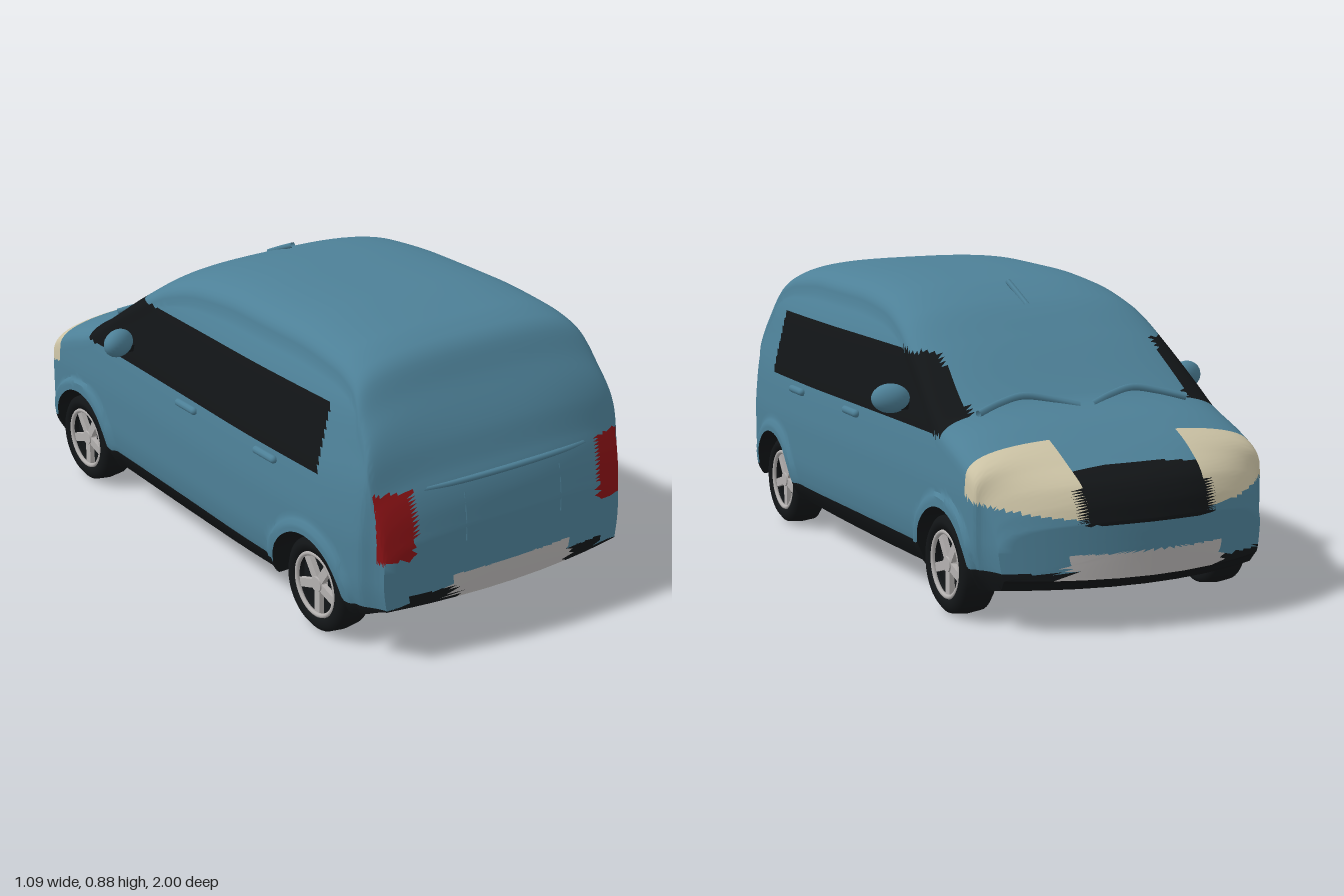
import * as THREE from 'three';
import { toCreasedNormals } from 'three/addons/utils/BufferGeometryUtils.js';

const mat = (color) => new THREE.MeshStandardMaterial({ color, side: THREE.DoubleSide });
const MATS = {
  paint: mat(0x4d8097), black: mat(0x121517), cream: mat(0xcdc4a6), red: mat(0x8a1215), silver: mat(0xb4b1b0),
};
const { abs, min, max, sqrt, sin, cos, pow, hypot, PI } = Math;
const smooth = THREE.MathUtils.smoothstep;

// Monotone smooth interpolation through [position, value] pairs
function curve(pts) {
  const s = pts.slice(1).map((p, i) => (p[1] - pts[i][1]) / (p[0] - pts[i][0]));
  const m = pts.map((_, i) => {
    if (i === 0) return s[0];
    if (i === s.length) return s[i - 1];
    return s[i - 1] * s[i] <= 0 ? 0 : (2 * s[i - 1] * s[i]) / (s[i - 1] + s[i]);
  });
  return (v) => {
    let i = 0;
    while (i < s.length - 1 && v > pts[i + 1][0]) i++;
    const h = pts[i + 1][0] - pts[i][0], t = min(1, max(0, (v - pts[i][0]) / h)), u = 1 - t;
    return (1 + 2 * t) * u * u * pts[i][1] + t * u * u * h * m[i]
      + t * t * (3 - 2 * t) * pts[i + 1][1] - t * t * u * h * m[i + 1];
  };
}

// Side silhouette, underside, plan half width, and narrowing with height (nose at -z)
const top = curve([[-1, .31], [-.985, .36], [-.95, .41], [-.87, .455], [-.71, .525], [-.57, .575], [-.53, .6],
  [-.34, .73], [-.18, .82], [-.02, .86], [.2, .876], [.46, .876], [.68, .858], [.76, .835], [.79, .815],
  [.84, .74], [.92, .62], [.955, .54], [.975, .5], [.99, .45], [1, .38]]);
const bottom = curve([[-1, .15], [-.95, .115], [-.8, .11], [-.1, .1], [.8, .13], [.92, .145], [1, .165]]);
const width = curve([[-1, .415], [-.9, .445], [-.75, .46], [-.4, .465], [0, .475], [.4, .485], [.7, .482], [.9, .465], [1, .425]]);
const lean = curve([[.1, .9], [.13, .94], [.17, .98], [.25, 1], [.35, 1], [.45, .985], [.52, .965], [.6, .925],
  [.7, .87], [.8, .77], [.88, .68]]);

const AXLES = [-.62, .67], AXLE_Y = .143, ARCH = .165, WELL_X = .34;

function sideX(y, z) {
  const r = min(...AXLES.map((a) => hypot(z - a, y - AXLE_Y)));
  return width(z) * lean(y) + .012 * (1 - smooth(r, .192, .205)); // flared arch lip
}

// Half cross-section from the floor centre, over the wheel well, up the side to the roof centre
const SIDE_ROWS = [3, 16, 8, 4], TOP_ROWS = 16;
function halfSection(z) {
  const B = bottom(z), T = top(z), h = min(.1, (T - B) * .5), ys = T - h;
  let yb = B;
  for (const a of AXLES) if (abs(z - a) < ARCH) yb = AXLE_Y + sqrt(ARCH ** 2 - (z - a) ** 2);
  const pts = [0, .1, .2, .28, WELL_X].map((x) => [x, B]);
  pts.push([WELL_X, yb], [sideX(yb, z), yb]);
  let y0 = yb;
  [.17, .5, .7, ys].forEach((level, k) => {
    const y1 = max(y0, min(level, ys));
    for (let i = 1; i <= SIDE_ROWS[k]; i++) {
      const y = y0 + (y1 - y0) * i / SIDE_ROWS[k];
      pts.push([sideX(y, z), y]);
    }
    y0 = y1;
  });
  const xs = sideX(ys, z);
  for (let i = 1; i <= TOP_ROWS; i++) {
    const t = i / TOP_ROWS * PI / 2;
    pts.push([i === TOP_ROWS ? 0 : xs * pow(cos(t), 2 / 3), ys + h * pow(sin(t), 2 / 3)]);
  }
  return pts;
}

// Bows the nose and tail in plan
const bow = (x, z) => z + (.14 * smooth(-z, .78, 1) - .05 * smooth(z, .86, 1)) * (x / .45) ** 2;

// Which part a piece of the body shell belongs to
function partAt(x, y, z, under, floor) {
  const ax = abs(x);
  if (under) return floor && ax < .28 && abs(z) < .58 ? 'floorPan' : 'underTrim';
  if (z < -.9 && ax < .24 && y > .15 && y < .22) return 'frontBumperPlate';
  if (z > .9 && ax < .21 && y > .16 && y < .235) return 'rearBumperPlate';
  if (y < .17 || (z > .85 && y < .2 && ax < .34)) return 'sillTrim';
  if (z < -.89 && ax < .2 && y > .3) return 'grille';
  if (z < -.76 && ax >= .2 && y > .31 + (z + 1) * .25) return 'headlights';
  if (z > .88 && ax > .33 && ax < .435 && y > .31 && y < .5) return 'tailLights';
  if (ax > .35 && y > .5 && y < .7 && z > -.58 && z < .7) return 'sideWindows';
  return 'bodyPaint';
}
const PART_MAT = {
  floorPan: 'paint', underTrim: 'black', frontBumperPlate: 'silver', rearBumperPlate: 'silver', sillTrim: 'black',
  grille: 'black', headlights: 'cream', tailLights: 'red', sideWindows: 'black', bodyPaint: 'paint',
};

function buildBody() {
  // Stations crowd toward both ends; cap stations shrink to a point
  const CAP = 12, N = 190, stations = [];
  for (let i = 0; i < CAP; i++) stations.push([-1, i / CAP]);
  for (let i = 0; i <= N; i++) { const u = i / N * 2 - 1; stations.push([1.5 * u - .5 * u ** 3, 1]); }
  for (let i = CAP - 1; i >= 0; i--) stations.push([1, i / CAP]);
  const pos = [], idx = [];
  let ring = 0, half = 0;
  for (const [z, k] of stations) {
    const right = halfSection(z);
    const all = right.concat(right.slice(1, -1).reverse().map(([x, y]) => [-x, y]));
    half = right.length - 1;
    ring = all.length;
    for (const [x, y] of all) pos.push(x * k, .25 + (y - .25) * k, bow(x * k, z));
  }
  for (let j = 0; j < stations.length - 1; j++) for (let i = 0; i < ring; i++) {
    const a = j * ring + i, b = j * ring + (i + 1) % ring, c = b + ring, d = a + ring;
    idx.push(a, b, c, a, c, d);
  }
  let geo = new THREE.BufferGeometry();
  geo.setAttribute('position', new THREE.Float32BufferAttribute(pos, 3));
  geo.setIndex(idx);
  geo = toCreasedNormals(geo, .7);

  // Split the shell into its parts, keeping the shared normals
  const P = geo.attributes.position.array, Q = geo.attributes.normal.array, parts = {};
  const v = [0, 1, 2].map(() => new THREE.Vector3()), tri = new THREE.Triangle(...v);
  for (let t = 0; t < P.length / 9; t++) {
    v.forEach((p, n) => p.fromArray(P, t * 9 + n * 3));
    if (tri.getArea() < 1e-10) continue;
    const quad = t >> 1, j = (quad / ring) | 0, i = quad % ring, hq = i < half ? i : ring - 1 - i;
    const cap = j < CAP || j >= CAP + N;
    const o = (n) => (v[0][n] + v[1][n] + v[2][n]) / 3;
    const part = partAt(o('x'), o('y'), o('z'), !cap && hq < 6, hq < 4);
    const out = (parts[part] ??= { p: [], n: [] });
    for (let n = t * 9; n < t * 9 + 9; n++) { out.p.push(P[n]); out.n.push(Q[n]); }
  }
  const body = new THREE.Group();
  body.name = 'body';
  for (const [name, { p, n }] of Object.entries(parts)) {
    const g = new THREE.BufferGeometry();
    g.setAttribute('position', new THREE.Float32BufferAttribute(p, 3));
    g.setAttribute('normal', new THREE.Float32BufferAttribute(n, 3));
    add(body, name, g, PART_MAT[name]);
  }
  return body;
}

function add(parent, name, geo, material, x = 0, y = 0, z = 0) {
  const mesh = new THREE.Mesh(geo, MATS[material]);
  mesh.name = name;
  mesh.position.set(x, y, z);
  parent.add(mesh);
  return mesh;
}

const tube = (pts, r, segs = 24) => new THREE.TubeGeometry(
  new THREE.CatmullRomCurve3(pts.map((p) => new THREE.Vector3(...p))), segs, r, 6);

// Wheel with its outer face toward +x
function buildWheel() {
  const wheel = new THREE.Group(), spin = new THREE.Group();
  wheel.name = 'wheel';
  spin.rotation.z = -PI / 2;
  wheel.add(spin);
  const profile = [[.08, -.05], [.122, -.055], [.138, -.042], [.143, 0], [.138, .042], [.122, .055], [.1, .052], [.092, .03]];
  add(spin, 'tyre', new THREE.LatheGeometry(profile.map((p) => new THREE.Vector2(...p)), 40), 'black');
  add(spin, 'wheelDish', new THREE.CylinderGeometry(.093, .093, .065, 32), 'black', 0, -.013, 0);
  add(spin, 'rim', new THREE.TorusGeometry(.092, .007, 8, 40).rotateX(PI / 2), 'silver', 0, .045, 0);
  add(spin, 'hub', new THREE.CylinderGeometry(.022, .026, .025, 20), 'silver', 0, .033, 0);
  for (let i = 0; i < 5; i++) {
    const spoke = new THREE.BoxGeometry(.08, .016, .026).translate(.052, .033, 0);
    add(spin, 'spoke', spoke, 'silver').rotation.y = i * PI * 2 / 5;
  }
  return wheel;
}

export function createModel() {
  const car = new THREE.Group();
  car.name = 'car';
  car.add(buildBody());

  for (const s of [-1, 1]) {
    for (const z of AXLES) {
      const wheel = buildWheel();
      wheel.position.set(s * .405, AXLE_Y, z);
      if (s < 0) wheel.rotation.y = PI;
      car.add(wheel);
    }
    // Door mirrors
    const shell = new THREE.SphereGeometry(1, 24, 16).scale(.056, .043, .036);
    add(car, 'mirrorHousing', shell, 'paint', s * .49, .572, -.325).rotation.y = -s * .35;
    add(car, 'mirrorStalk', new THREE.BoxGeometry(.07, .02, .04), 'black', s * .44, .55, -.33);
    // Door handles
    for (const z of [.03, .46]) {
      const handle = new THREE.CapsuleGeometry(.012, .085, 4, 10).rotateX(PI / 2);
      add(car, 'doorHandle', handle, 'paint', s * (sideX(.475, z) + .004), .475, z);
    }
    // Tailgate seams
    add(car, 'tailgateSeam', tube([[s * .17, .33, .991], [s * .17, .4, .987], [s * .17, .47, .975]], .004), 'paint');
  }

  // Lip under the rear glass
  add(car, 'tailgateLip', tube([[-.42, .47, .915], [-.33, .492, .935], [-.2, .5, .962], [0, .503, .974],
    [.2, .5, .962], [.33, .492, .935], [.42, .47, .915]], .009, 40), 'paint');

  // Wipers at the base of the windscreen
  for (const [x0, x1] of [[.34, .02], [-.02, -.33]]) {
    const pts = [0, .25, .5, .75, 1].map((t) => {
      const z = -.6 + .045 * sin(t * PI);
      return [x0 + (x1 - x0) * t, top(z) - .012 * (2 * abs(t - .5)) + .008, z];
    });
    add(car, 'wiper', tube(pts, .011), 'paint');
  }

  // Roof fin following the top of the windscreen
  add(car, 'roofFin', tube([[0, top(-.09) + .012, -.09], [0, top(-.15) + .004, -.15], [0, top(-.22), -.22]], .009), 'paint');
  return car;
}
